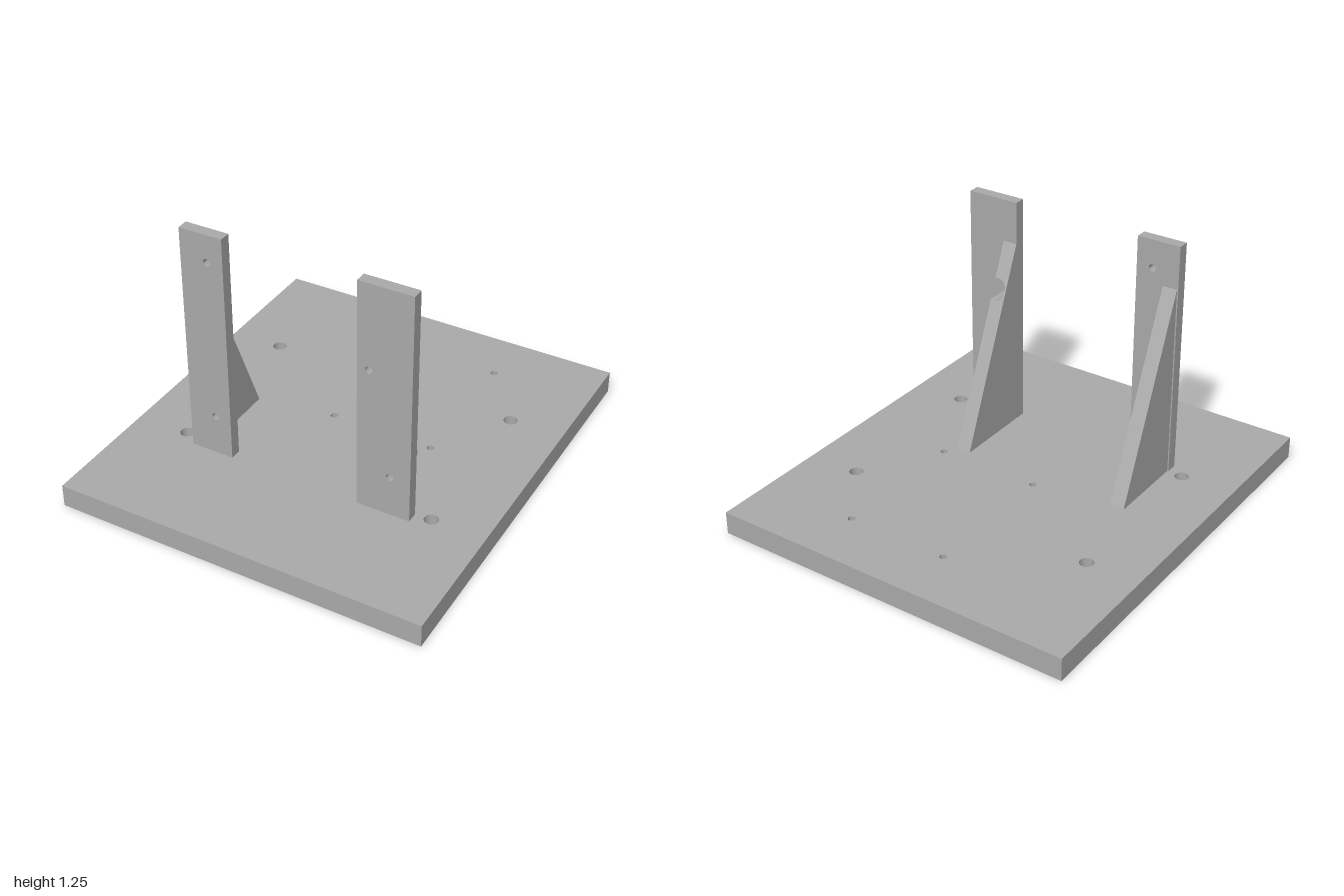
import * as THREE from 'three';
import { toCreasedNormals } from 'three/addons/utils/BufferGeometryUtils.js';

const BASE_TOP = 0.11, POST_TOP = 1.245;
const POST_BACK = 0.408, POST_FRONT = 0.463;
const GUSSET_TOP = 1.04, GUSSET_TOE = 0.02;

// Rectangle with round holes given as [x, y, radius]
function drilledPlate(x0, x1, y0, y1, holes) {
  const shape = new THREE.Shape();
  shape.moveTo(x0, y0).lineTo(x1, y0).lineTo(x1, y1).lineTo(x0, y1).closePath();
  for (const [x, y, r] of holes) {
    shape.holes.push(new THREE.Path().absarc(x, y, r, 0, Math.PI * 2, true));
  }
  return shape;
}

function extrude(shape, depth) {
  const geometry = new THREE.ExtrudeGeometry(shape, { depth, bevelEnabled: false, curveSegments: 16 });
  return toCreasedNormals(geometry, 0.6);
}

// Triangular brace: its x-y outline is extruded, then the back is sloped
function gussetGeometry(x0, x1, notch) {
  const shape = new THREE.Shape();
  shape.moveTo(x0, BASE_TOP).lineTo(x1, BASE_TOP);
  if (notch) {
    const a = Math.acos((x1 - notch.x) / notch.r);
    shape.absarc(notch.x, notch.y, notch.r, -a, a, true);
  }
  shape.lineTo(x1, GUSSET_TOP).lineTo(x0, GUSSET_TOP).closePath();
  const geometry = new THREE.ExtrudeGeometry(shape, { depth: 1, bevelEnabled: false, curveSegments: 20 });
  const p = geometry.attributes.position;
  for (let i = 0; i < p.count; i++) {
    const reach = (POST_BACK - GUSSET_TOE) * (GUSSET_TOP - p.getY(i)) / (GUSSET_TOP - BASE_TOP);
    p.setZ(i, POST_BACK - (1 - p.getZ(i)) * reach);
  }
  geometry.computeVertexNormals();
  return toCreasedNormals(geometry, 0.6);
}

export function createModel() {
  const model = new THREE.Group();
  model.name = 'mountingBracket';
  const grey = new THREE.MeshStandardMaterial({ color: 0xaaaaaa });
  grey.name = 'grey';

  const add = (name, geometry, parent = model) => {
    const mesh = new THREE.Mesh(geometry, grey);
    mesh.name = name;
    parent.add(mesh);
    return mesh;
  };

  // Base in two layers: small screw holes widen to counterbores underneath
  const base = new THREE.Group();
  base.name = 'basePlate';
  model.add(base);
  const corners = [], screws = [];
  for (const x of [-0.63, 0.63]) for (const z of [-0.41, 0.405]) corners.push([x, -z, 0.033]);
  for (const x of [-0.105, 0.4]) for (const z of [-0.72, -0.04]) screws.push([x, -z]);
  const layers = [['baseLower', 0, 0.055, 0.033], ['baseUpper', 0.055, BASE_TOP, 0.017]];
  for (const [name, y0, y1, r] of layers) {
    const holes = [...corners, ...screws.map(([x, y]) => [x, y, r])];
    const geometry = extrude(drilledPlate(-0.89, 0.89, -1, 1, holes), y1 - y0);
    geometry.rotateX(-Math.PI / 2).translate(0, y0, 0);
    add(name, geometry, base);
  }

  // Two uprights, each with a pair of screw holes and a brace behind
  const posts = [
    { side: 'right', x: [-0.558, -0.346], holes: [[-0.425, 1.11], [-0.425, 0.31]], gusset: [-0.552, -0.481] },
    { side: 'left', x: [0.295, 0.553], holes: [[0.35, 0.828], [0.456, 0.31]], gusset: [0.295, 0.366],
      notch: { x: 0.35, y: 0.83, r: 0.049 } },
  ];
  for (const { side, x, holes, gusset, notch } of posts) {
    const shape = drilledPlate(x[0], x[1], BASE_TOP, POST_TOP, holes.map(([hx, hy]) => [hx, hy, 0.018]));
    add(side + 'Upright', extrude(shape, POST_FRONT - POST_BACK).translate(0, 0, POST_BACK));
    add(side + 'Gusset', gussetGeometry(gusset[0], gusset[1], notch));
  }
  return model;
}
